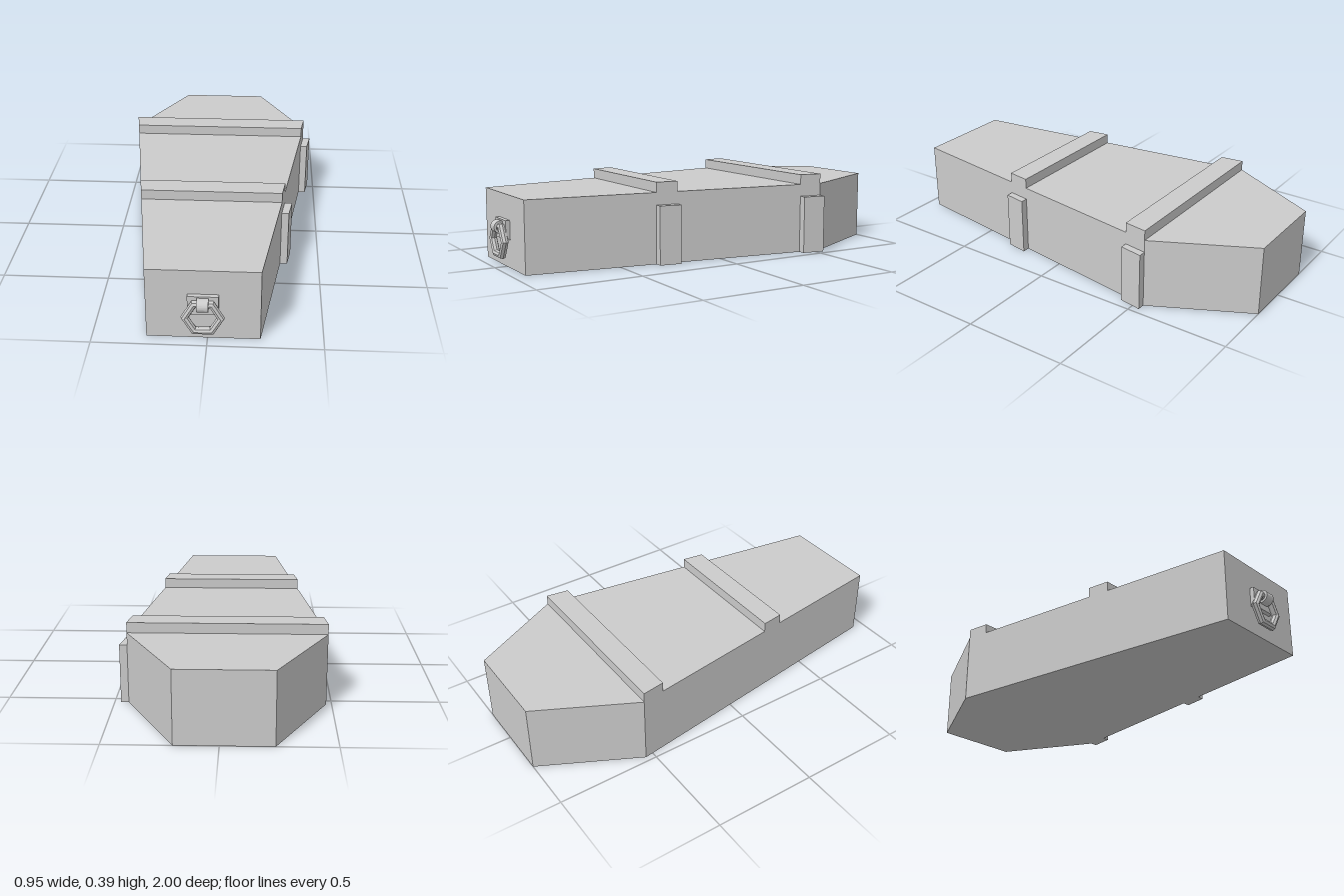
import * as THREE from 'three';

const material = new THREE.MeshStandardMaterial({ color: 0xcccccc, flatShading: true });

// Half-outline edges of the tapered body below the shoulders
const SHOULDER = -0.54, FOOT = 0.94;
const along = (a, b, z) => a + (b - a) * (z - SHOULDER) / (FOOT - SHOULDER);
const leftEdge = (z) => along(0.435, 0.228, z);
const rightEdge = (z) => along(-0.475, -0.265, z);

function addMesh(parent, name, geometry) {
  const mesh = new THREE.Mesh(geometry, material);
  mesh.name = name;
  parent.add(mesh);
  return mesh;
}

// Upright prism over an outline of [x, z] corners
function prism(corners, y0, y1) {
  const shape = new THREE.Shape(corners.map(([x, z]) => new THREE.Vector2(x, -z)));
  return new THREE.ExtrudeGeometry(shape, { depth: y1 - y0, bevelEnabled: false })
    .rotateX(-Math.PI / 2).translate(0, y0, 0);
}

export function createModel() {
  const model = new THREE.Group();
  model.name = 'coffin';

  // Six-sided box, widest at the shoulders
  addMesh(model, 'body', prism([
    [-0.235, -1], [-0.475, SHOULDER], [-0.265, FOOT],
    [0.228, FOOT], [0.435, SHOULDER], [0.195, -1],
  ], 0, 0.338));

  // Lid straps, each with an upright plate on the left side
  for (const [label, z0, z1] of [['shoulder', -0.54, -0.43], ['foot', 0.22, 0.325]]) {
    addMesh(model, label + 'LidStrap', prism([
      [rightEdge(z0), z0], [rightEdge(z1), z1], [leftEdge(z1), z1], [leftEdge(z0), z0],
    ], 0.338, 0.386));
    addMesh(model, label + 'SidePlate', prism([
      [leftEdge(z0), z0], [leftEdge(z1), z1], [leftEdge(z1) + 0.034, z1], [leftEdge(z0) + 0.036, z0],
    ], 0, 0.279));
  }

  // Pull handle on the foot end
  const handle = new THREE.Group();
  handle.name = 'pullHandle';
  handle.position.x = -0.018;
  model.add(handle);
  addMesh(handle, 'backPlate', new THREE.BoxGeometry(0.134, 0.09, 0.022)).position.set(0, 0.177, 0.949);
  addMesh(handle, 'hexagonRing', new THREE.TorusGeometry(0.077, 0.018, 8, 6)).position.set(0, 0.125, 0.97);

  // Curved clasp around the top bar of the ring
  const arc = new THREE.Shape();
  arc.absarc(0, 0, 0.03, -Math.PI * 0.75, Math.PI * 0.75, false);
  arc.absarc(0, 0, 0.019, Math.PI * 0.75, -Math.PI * 0.75, true);
  const clasp = new THREE.ExtrudeGeometry(arc, { depth: 0.05, bevelEnabled: false, curveSegments: 10 })
    .translate(0, 0, -0.025).rotateY(-Math.PI / 2);
  addMesh(handle, 'clasp', clasp).position.set(0, 0.187, 0.97);

  return model;
}
